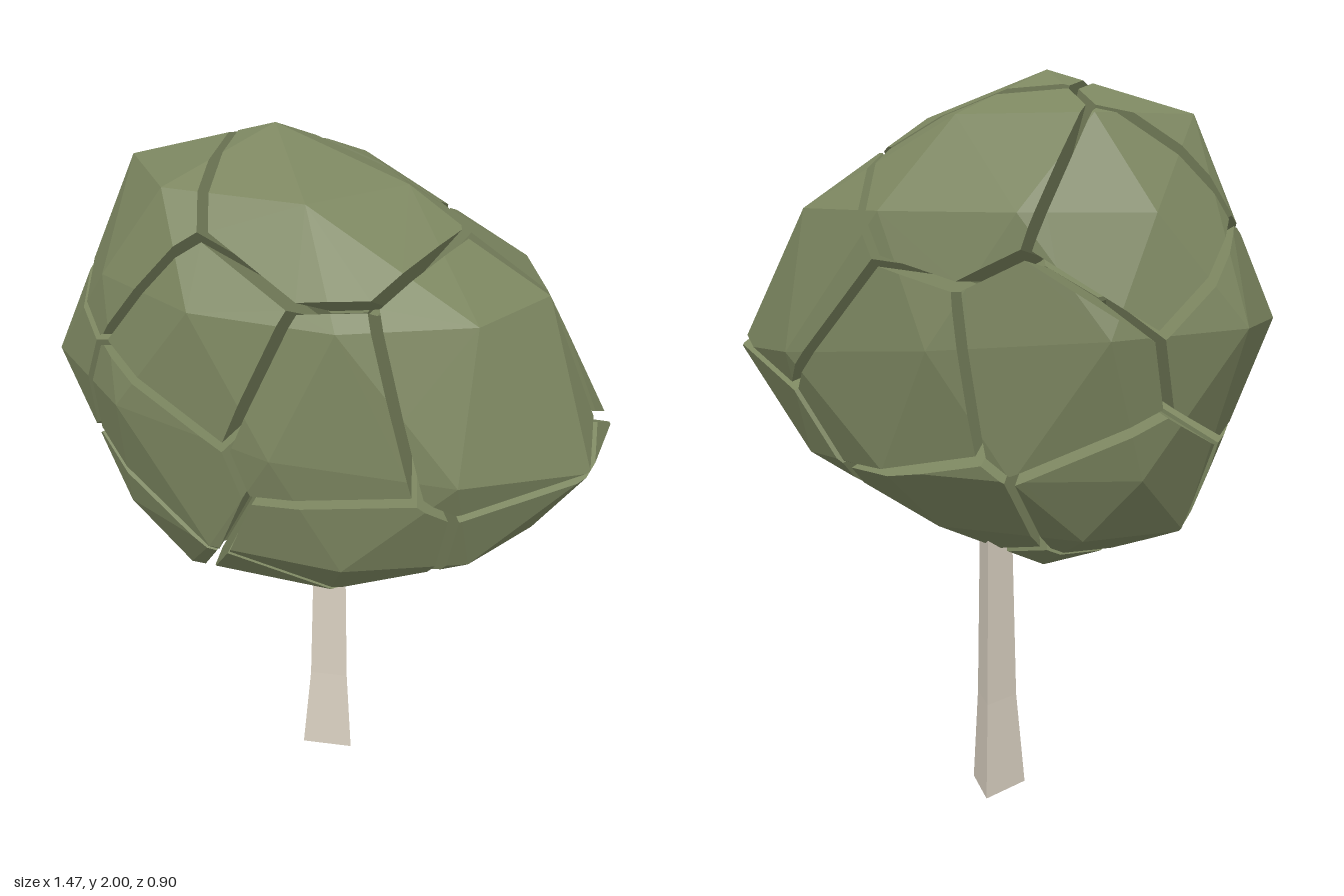
import * as THREE from 'three';
import { ConvexGeometry } from 'three/addons/geometries/ConvexGeometry.js';

const V = (x, y, z) => new THREE.Vector3(x, y, z);
const GAP = 0.014; // half the width of a crack

// Rings of the crown: height, left edge, right edge, half depth, sides, start angle, tilt
const RINGS = [
  [1.88, -0.55, 0.2, 0.26, 6, 0, 0],
  [1.64, -0.65, 0.57, 0.42, 10, 0, 0],
  [1.3, -0.78, 0.77, 0.45, 10, 18, 0.06],
  [0.97, -0.62, 0.57, 0.4, 10, 0, 0],
  [0.79, -0.55, 0.28, 0.25, 6, 0, 0],
];

// Centres of the leaf chunks
const SEEDS = [
  [-0.42, 1.7, 0.08], [0, 1.82, 0.1], [-0.05, 1.75, -0.28], [-0.2, 1.5, 0.28],
  [0.08, 1.38, 0.3], [0.45, 1.48, 0.2], [0.42, 1.5, -0.22], [-0.33, 1.22, 0.28],
  [-0.42, 0.95, 0.15], [-0.63, 1.35, -0.02], [0.12, 1.02, 0.25], [0.45, 1.02, 0],
  [-0.1, 0.78, 0.1], [-0.5, 1.6, -0.22], [-0.3, 1.25, -0.3], [0.1, 1.2, -0.33],
  [-0.4, 0.92, -0.15], [0.02, 0.85, -0.2],
].map((s) => V(...s));

// Planes that bound the whole crown
function crownPlanes() {
  const pts = [V(-0.15, 2, 0), V(-0.15, 0.65, 0)];
  for (const [y, l, r, d, n, start, tilt] of RINGS) {
    for (let i = 0; i < n; i++) {
      const a = THREE.MathUtils.degToRad(start) + (i / n) * Math.PI * 2;
      pts.push(V((l + r) / 2 + ((r - l) / 2) * Math.cos(a), y - tilt * Math.cos(a), d * Math.sin(a)));
    }
  }
  const pos = new ConvexGeometry(pts).attributes.position;
  const planes = [];
  for (let i = 0; i < pos.count; i += 3) {
    const [a, b, c] = [0, 1, 2].map((k) => V().fromBufferAttribute(pos, i + k));
    const p = new THREE.Plane().setFromCoplanarPoints(a, b, c);
    const known = planes.some((q) => q.normal.dot(p.normal) > 0.9999 && Math.abs(q.constant - p.constant) < 1e-3);
    if (!known) planes.push(p);
  }
  return planes;
}

// Corners of the convex solid enclosed by a set of planes
function corners(planes) {
  const found = new Map();
  const bc = V(), p = V();
  for (let i = 0; i < planes.length; i++) {
    for (let j = i + 1; j < planes.length; j++) {
      const ab = V().crossVectors(planes[i].normal, planes[j].normal);
      for (let k = j + 1; k < planes.length; k++) {
        const [A, B, C] = [planes[i], planes[j], planes[k]];
        const det = ab.dot(C.normal);
        if (Math.abs(det) < 1e-5) continue;
        p.copy(ab).multiplyScalar(-C.constant);
        p.addScaledVector(bc.crossVectors(B.normal, C.normal), -A.constant);
        p.addScaledVector(bc.crossVectors(C.normal, A.normal), -B.constant);
        p.divideScalar(det);
        if (planes.every((q) => q.distanceToPoint(p) < 1e-5)) {
          found.set(p.toArray().map((v) => Math.round(v * 500)).join(), p.clone());
        }
      }
    }
  }
  return [...found.values()];
}

// Three-sided trunk, flared at the foot
function trunkGeometry() {
  const foot = [[-0.105, -0.025], [0.045, -0.05], [-0.05, -0.175]];
  const levels = [[0, 1], [0.27, 0.74], [0.8, 0.6]];
  const ring = ([y, s]) => foot.map(([x, z]) => V(-0.028 + (x + 0.028) * s, y, -0.093 + (z + 0.093) * s));
  const rings = levels.map(ring);
  const tris = [rings[0][0], rings[0][2], rings[0][1], ...rings[2]];
  for (let r = 0; r < 2; r++) {
    for (let i = 0; i < 3; i++) {
      const j = (i + 1) % 3;
      const [a, b, c, d] = [rings[r][i], rings[r][j], rings[r + 1][j], rings[r + 1][i]];
      tris.push(a, b, c, a, c, d);
    }
  }
  const g = new THREE.BufferGeometry().setFromPoints(tris);
  g.computeVertexNormals();
  return g;
}

export function createModel() {
  const tree = new THREE.Group();
  tree.name = 'tree';
  const leafMat = new THREE.MeshStandardMaterial({ color: 0x7c8660, flatShading: true });
  const barkMat = new THREE.MeshStandardMaterial({ color: 0xd8cfc0, flatShading: true, side: THREE.DoubleSide });

  const trunk = new THREE.Mesh(trunkGeometry(), barkMat);
  trunk.name = 'trunk';
  tree.add(trunk);

  // Crown broken into chunks, each nearest to its own centre
  const crown = new THREE.Group();
  crown.name = 'crown';
  const shell = crownPlanes();
  SEEDS.forEach((seed, i) => {
    const cuts = SEEDS.filter((s) => s !== seed).map((s) => {
      const n = s.clone().sub(seed).normalize();
      const mid = s.clone().add(seed).multiplyScalar(0.5).addScaledVector(n, -GAP);
      return new THREE.Plane().setFromNormalAndCoplanarPoint(n, mid);
    });
    const pts = corners([...shell, ...cuts]);
    if (pts.length < 4) return;
    const chunk = new THREE.Mesh(new ConvexGeometry(pts), leafMat);
    chunk.name = `leafChunk${i + 1}`;
    crown.add(chunk);
  });
  tree.add(crown);
  return tree;
}
